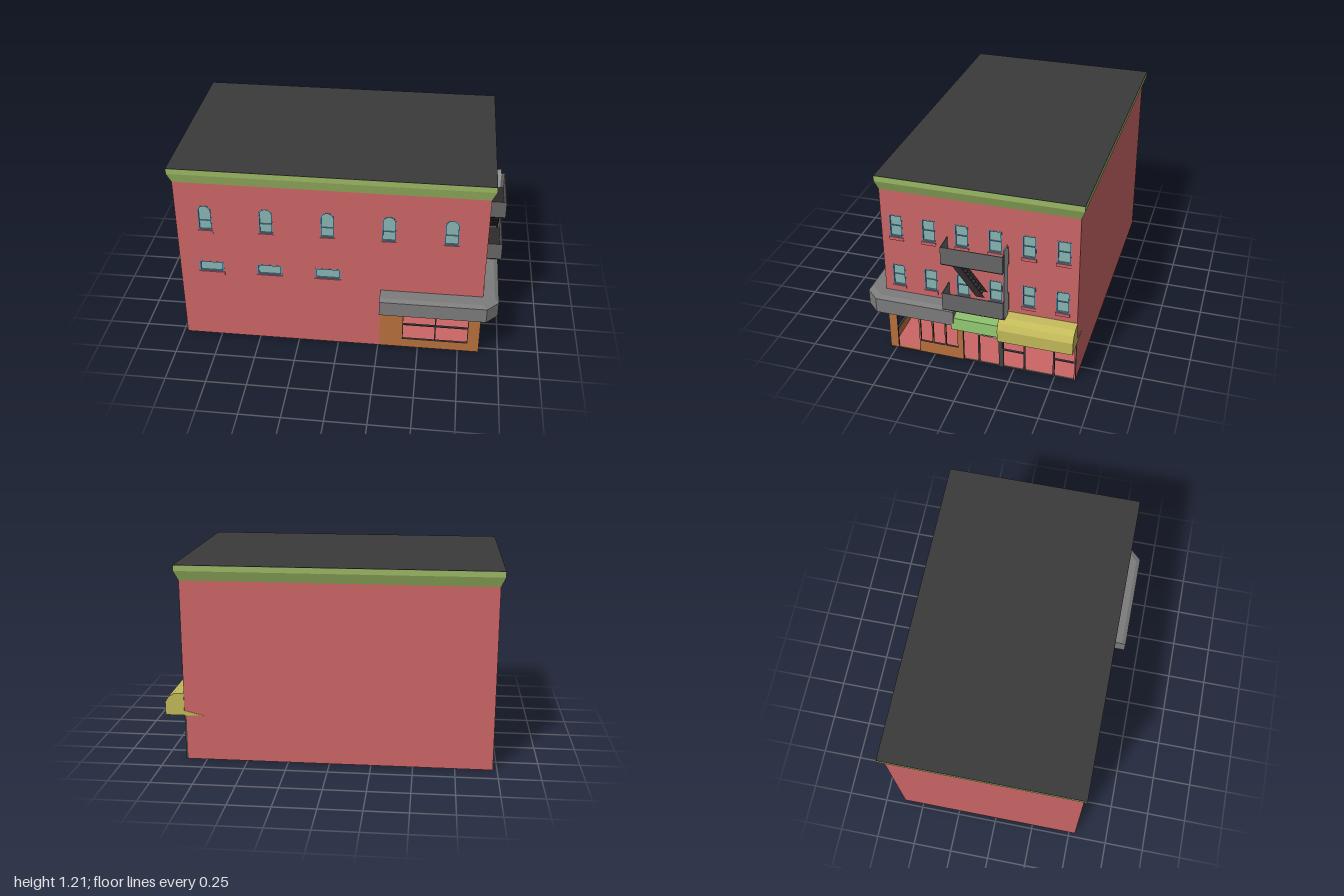
import * as THREE from 'three';

const mat = (color) => new THREE.MeshStandardMaterial({ color, flatShading: true, side: THREE.DoubleSide });
const M = {
  brick: mat(0xcc6666), orange: mat(0xb9703c), lime: mat(0x9bb863), roof: mat(0x3a3a3a),
  glass: mat(0x88b5b2), blue: mat(0x5b92bd), grey: mat(0x7c7c7c), rail: mat(0x666666),
  dark: mat(0x444444), black: mat(0x2f2a2b), pale: mat(0xa8a8a8), yellow: mat(0xc2b95a), green: mat(0x86b868),
};
const WALL = 0.015; // wall thickness

function add(parent, name, geometry, material) {
  const mesh = new THREE.Mesh(geometry, material);
  mesh.name = name;
  parent.add(mesh);
  return mesh;
}

// Box given by its extents on each axis
function box(parent, name, material, x0, x1, y0, y1, z0, z1) {
  const m = add(parent, name, new THREE.BoxGeometry(x1 - x0, y1 - y0, z1 - z0), material);
  m.position.set((x0 + x1) / 2, (y0 + y1) / 2, (z0 + z1) / 2);
  return m;
}

const poly = (pts) => new THREE.Shape(pts.map(([x, y]) => new THREE.Vector2(x, y)));
const rect = (x0, x1, y0, y1) => poly([[x0, y0], [x1, y0], [x1, y1], [x0, y1]]);

// Rectangle whose top may be a half circle
function opening(x0, x1, y0, y1, arched) {
  if (!arched) return rect(x0, x1, y0, y1);
  const r = (x1 - x0) / 2;
  const s = new THREE.Shape();
  s.moveTo(x0, y0);
  s.lineTo(x1, y0);
  s.lineTo(x1, y1 - r);
  s.absarc((x0 + x1) / 2, y1 - r, r, 0, Math.PI, false);
  s.closePath();
  return s;
}

const extrude = (shape, depth) =>
  new THREE.ExtrudeGeometry(shape, { depth, bevelEnabled: false, curveSegments: 8 });

// Wall slab whose outer side lies at local z = 0
function wall(parent, name, material, shape, holes) {
  shape.holes.push(...holes);
  add(parent, name, extrude(shape, WALL).translate(0, 0, -WALL), material);
}

// Pane, blue frame, middle rail and sill; returns the hole it needs
function sashWindow(face, x0, x1, y0, y1, { arched = false, side = 0.006, rail = null } = {}) {
  const g = new THREE.Group();
  g.name = 'window';
  face.add(g);
  const t = 0.006;
  const pane = opening(x0, x1, y0, y1, arched);
  add(g, 'glass', new THREE.ShapeGeometry(pane, 8).translate(0, 0, -0.01), M.glass);
  const ring = opening(x0, x1, y0, y1, arched);
  ring.holes.push(opening(x0 + side, x1 - side, y0 + t, y1 - t, arched));
  add(g, 'frame', extrude(ring, 0.01).translate(0, 0, -0.009), M.blue);
  if (rail) box(g, 'middleRail', M.blue, x0, x1, rail - 0.002, rail + 0.002, -0.01, -0.004);
  box(g, 'sill', M.brick, x0 - 0.004, x1 + 0.004, y0 - 0.022, y0 - 0.002, -0.002, 0.006);
  return opening(x0, x1, y0, y1, arched);
}

// Thin outline around a see-through opening
function outline(face, x0, x1, y0, y1, t = 0.005) {
  const s = rect(x0, x1, y0, y1);
  s.holes.push(rect(x0 + t, x1 - t, y0 + t, y1 - t));
  add(face, 'shopFrame', extrude(s, 0.012).translate(0, 0, -0.012), M.dark);
}

function frontFace() {
  const f = new THREE.Group();
  f.name = 'frontFace';
  f.position.z = 0.54;
  const holes = [];
  for (const x of [-0.797, -0.43, -0.062, 0.303, 0.67])
    holes.push(sashWindow(f, x - 0.041, x + 0.041, 0.79, 0.96, { arched: true, rail: 0.853 }));
  for (const x of [-0.78, -0.42, -0.062])
    holes.push(sashWindow(f, x - 0.077, x + 0.077, 0.49, 0.56, { side: 0.01 }));
  wall(f, 'frontWall', M.brick, poly([[-0.975, 0], [0.26, 0], [0.26, 0.32], [0.88, 0.32], [0.88, 1.11], [-0.975, 1.11]]), holes);
  // Corner shop window
  wall(f, 'cornerShopFront', M.orange, rect(0.26, 0.88, 0, 0.32), [rect(0.4, 0.81, 0.06, 0.29)]);
  outline(f, 0.4, 0.81, 0.06, 0.29);
  box(f, 'mullion', M.dark, 0.601, 0.609, 0.06, 0.29, -0.012, 0);
  box(f, 'transom', M.dark, 0.4, 0.81, 0.171, 0.179, -0.012, 0);
  return f;
}

// Street side: local x runs towards the back, local z points outwards
function streetFace() {
  const f = new THREE.Group();
  f.name = 'streetFace';
  f.position.x = 0.88;
  f.rotation.y = Math.PI / 2;
  const holes = [];
  for (let i = 0; i < 6; i++) {
    const u = -0.451 + i * 0.1975;
    for (const y of [0.475, 0.81])
      holes.push(sashWindow(f, u - 0.039, u + 0.039, y, y + 0.142, { rail: y + 0.072 }));
  }
  wall(f, 'streetWall', M.brick, poly([[-0.54, 0.32], [-0.07, 0.32], [-0.07, 0.28], [0.625, 0.28], [0.625, 1.11], [-0.54, 1.11]]), holes);

  // Corner shop: door with glass above it and three windows
  const gaps = [rect(-0.49, -0.345, 0.005, 0.315)];
  for (let i = 0; i < 3; i++) {
    const u = -0.34 + i * 0.081;
    gaps.push(rect(u, u + 0.078, 0.08, 0.28));
    outline(f, u, u + 0.078, 0.08, 0.28, 0.003);
  }
  wall(f, 'cornerShopSide', M.orange, rect(-0.54, -0.07, 0, 0.32), gaps);
  box(f, 'doorTransomGlass', M.glass, -0.49, -0.345, 0.282, 0.315, -0.012, -0.006);
  outline(f, -0.49, -0.345, 0, 0.282, 0.003);

  // Middle and rear shops
  outline(f, -0.07, 0.031, 0, 0.28);
  outline(f, 0.031, 0.16, 0, 0.222);
  box(f, 'column', M.dark, 0.16, 0.179, 0, 0.3, -0.015, 0.006);
  outline(f, 0.179, 0.312, 0, 0.28);
  outline(f, 0.312, 0.492, 0, 0.242);
  outline(f, 0.492, 0.625, 0, 0.28);
  box(f, 'doorTransomGlass', M.glass, 0.316, 0.489, 0.242, 0.28, -0.01, -0.004);
  for (const u of [0.179, 0.492])
    box(f, 'shopTransom', M.dark, u, u + 0.133, 0.124, 0.131, -0.012, 0);
  box(f, 'airConditioner', M.pale, 0.031, 0.16, 0.222, 0.28, -0.03, 0.022);
  box(f, 'airConditionerGrille', M.black, 0.058, 0.128, 0.23, 0.27, 0.02, 0.025);

  f.add(fireEscape());
  return f;
}

function fireEscape() {
  const g = new THREE.Group();
  g.name = 'fireEscape';
  for (const y of [0.44, 0.75]) {
    const floor = rect(-0.145, 0.22, 0, 0.115);
    if (y > 0.6) floor.holes.push(rect(-0.1, 0.0, 0.025, 0.085));
    const slab = extrude(floor, 0.007).rotateX(Math.PI / 2).translate(0, y + 0.007, 0);
    add(g, 'landingFloor', slab, M.black);
    box(g, 'landingRail', M.rail, -0.145, 0.22, y + 0.005, y + 0.114, 0.11, 0.115);
    for (const u of [-0.145, 0.215])
      box(g, 'landingEnd', M.rail, u, u + 0.005, y + 0.005, y + 0.114, 0, 0.11);
  }
  // Sloping stair between the landings
  for (const z of [0.025, 0.081]) {
    const s = poly([[-0.105, 0.755], [-0.055, 0.755], [0.1, 0.55], [0.1, 0.447], [0.13, 0.447], [0.1, 0.5]].slice(0, 3).concat([[0.05, 0.55]]));
    add(g, 'stairStringer', extrude(s, 0.004).translate(0, 0, z), M.black);
  }
  for (let i = 0; i < 10; i++) {
    const t = (i + 0.5) / 10, u = -0.08 + t * 0.155, y = 0.755 - t * 0.205;
    box(g, 'stairTread', M.black, u - 0.014, u + 0.014, y - 0.002, y + 0.002, 0.027, 0.083);
  }
  box(g, 'ladderPlank', M.pale, 0.214, 0.221, 0.42, 0.89, 0.022, 0.088);
  return g;
}

// Corner canopy wrapping both streets, with a sloped top edge
function cornerCanopy() {
  const g = new THREE.Group();
  g.name = 'cornerCanopy';
  const plan = () => poly([[0.26, 0.54], [0.26, 0.645], [0.905, 0.645], [0.975, 0.57], [0.975, 0.09], [0.88, 0.09], [0.88, 0.54]]
    .map(([x, z]) => [x, -z]));
  add(g, 'canopyBand', extrude(plan(), 0.095).rotateX(-Math.PI / 2).translate(0, 0.32, 0), M.grey);
  const top = extrude(plan(), 0.015).rotateX(-Math.PI / 2).translate(0, 0.415, 0);
  const p = top.attributes.position;
  for (let i = 0; i < p.count; i++) {
    if (p.getY(i) < 0.42) continue;
    if (p.getX(i) > 0.89) p.setX(i, p.getX(i) - 0.025);
    if (p.getZ(i) > 0.55) p.setZ(i, p.getZ(i) - 0.025);
  }
  top.computeVertexNormals();
  add(g, 'canopyTop', top, M.grey);
  return g;
}

export function createModel() {
  const model = new THREE.Group();
  model.name = 'cornerBuilding';
  model.add(frontFace(), streetFace(), cornerCanopy());

  // Plain walls, floor and ceiling
  box(model, 'backWall', M.brick, -0.975, 0.88, 0, 1.11, -0.625, -0.615);
  box(model, 'sideWall', M.brick, -0.975, -0.965, 0, 1.11, -0.625, 0.54);
  box(model, 'groundFloor', M.brick, -0.975, 0.88, 0, 0.003, -0.625, 0.54);
  box(model, 'ceiling', M.roof, -0.965, 0.865, 1.1, 1.108, -0.615, 0.525);

  // Cornice: flared band below, upright band above, flat roof
  const flare = new THREE.BoxGeometry(1.905, 0.06, 1.203);
  const p = flare.attributes.position;
  for (let i = 0; i < p.count; i++)
    if (p.getY(i) < 0) p.setXYZ(i, p.getX(i) * 1.855 / 1.905, p.getY(i), p.getZ(i) * 1.165 / 1.203 + 0.004);
  flare.computeVertexNormals();
  add(model, 'corniceFlare', flare, M.lime).position.set(-0.0475, 1.14, -0.0465);
  box(model, 'corniceBand', M.lime, -1, 0.905, 1.17, 1.203, -0.648, 0.555);
  box(model, 'roof', M.roof, -1, 0.905, 1.203, 1.205, -0.648, 0.555);

  // Shop awnings
  const yellow = poly([[0.88, 0.42], [0.94, 0.415], [0.975, 0.395], [0.995, 0.36], [0.995, 0.28], [0.76, 0.28], [0.88, 0.31]]);
  add(model, 'roundedAwning', extrude(yellow, 0.447).translate(0, 0, -0.628), M.yellow);
  const green = poly([[0.88, 0.4], [0.965, 0.365], [0.985, 0.3], [0.88, 0.3]]);
  add(model, 'slopedAwning', extrude(green, 0.281).translate(0, 0, -0.181), M.green);
  return model;
}
